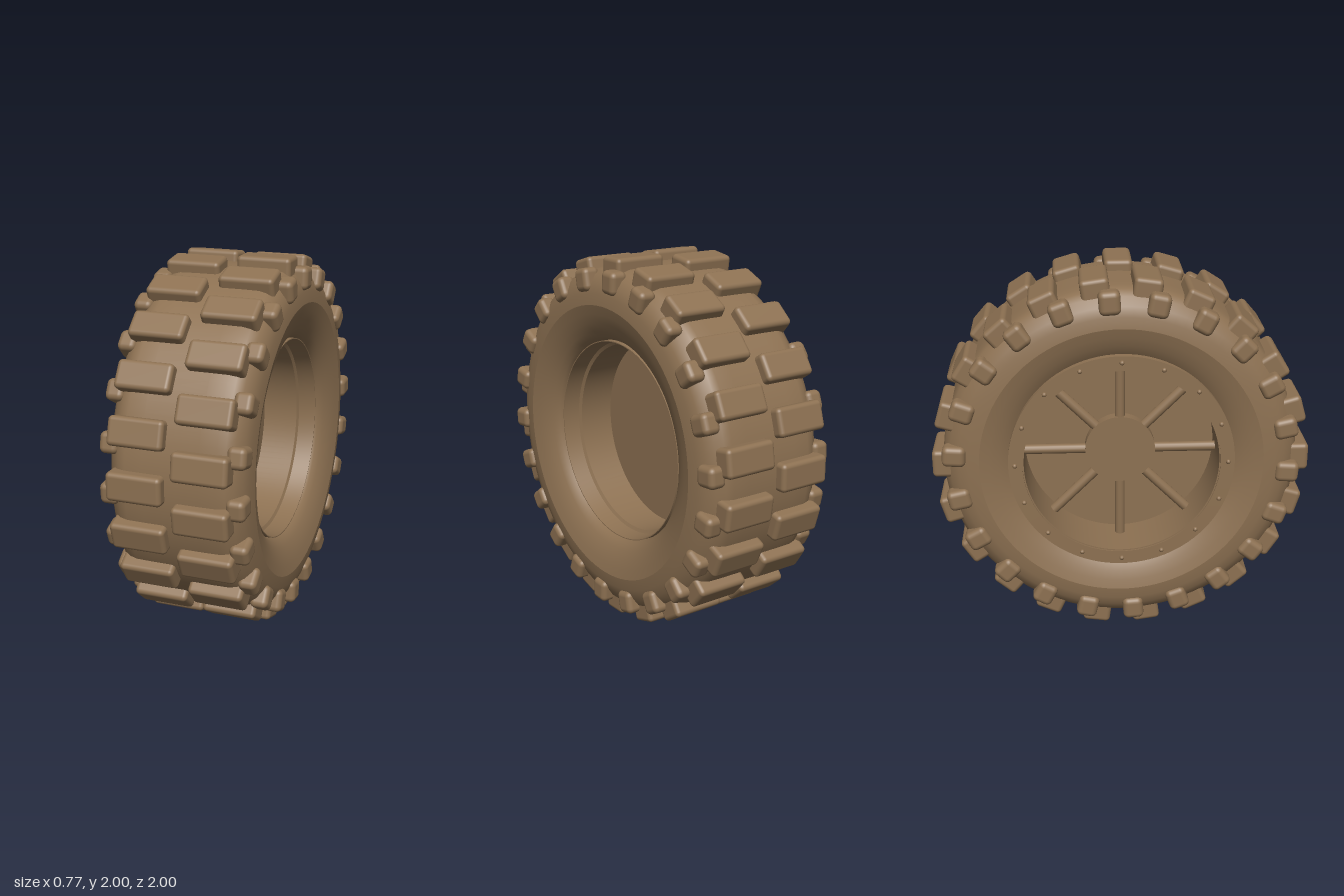
import * as THREE from 'three';
import { toCreasedNormals } from 'three/addons/utils/BufferGeometryUtils.js';
import { RoundedBoxGeometry } from 'three/addons/geometries/RoundedBoxGeometry.js';

const brown = new THREE.MeshStandardMaterial({ color: 0x8d7152 });
brown.name = 'brown';

const LUGS = 22;
const STEP = (Math.PI * 2) / LUGS;

export function createModel() {
  const model = new THREE.Group();
  model.name = 'wheelModel';

  // The axle sits one radius above the ground
  const wheel = new THREE.Group();
  wheel.name = 'wheel';
  wheel.position.y = 1;
  model.add(wheel);

  const add = (name, geometry) => {
    const mesh = new THREE.Mesh(geometry, brown);
    mesh.name = name;
    wheel.add(mesh);
    return mesh;
  };

  // Turns a profile of [x, radius] points around the x axis
  const turn = (profile, crease = 0) => {
    const points = profile.map(([x, r]) => new THREE.Vector2(r, x));
    const geometry = new THREE.LatheGeometry(points, 96).rotateZ(-Math.PI / 2);
    return crease ? toCreasedNormals(geometry, crease) : geometry;
  };

  // Places something at an angle around the axle, measured from +z upwards
  const place = (mesh, x, radius, angle) => {
    mesh.position.set(x, radius * Math.sin(angle), radius * Math.cos(angle));
    mesh.rotation.x = -angle;
  };

  // Tyre: tread and shoulders, then a rounded inner wall on each side
  const half = [[0.15, 0.945], [0.24, 0.943], [0.28, 0.932], [0.32, 0.905], [0.35, 0.86], [0.366, 0.81], [0.373, 0.75]];
  const mirrored = half.map(([x, r]) => [-x, r]).reverse();
  add('tyreTread', turn([...mirrored, ...half]));

  const wall = [[0.373, 0.75], [0.36, 0.7], [0.342, 0.65], [0.319, 0.605], [0.295, 0.572], [0.265, 0.553], [0.2, 0.545]];
  add('leftTyreWall', turn(wall));
  add('rightTyreWall', turn(wall.map(([x, r]) => [-x, r]).reverse()));

  // Rim barrel: a closed ring with a stepped lip
  add('rimBarrel', turn([
    [0.285, 0.55], [0.285, 0.545], [0.19, 0.535], [0.18, 0.518], [-0.345, 0.518],
    [-0.345, 0.55], [0.285, 0.55],
  ], 0.4));

  // Solid plate closing the barrel
  const plate = add('centrePlate', new THREE.CylinderGeometry(0.52, 0.52, 0.03, 96));
  plate.rotation.z = Math.PI / 2;
  plate.position.x = -0.035;

  // Clamp ring with its bolts on the -x side
  add('clampRing', turn([[-0.32, 0.525], [-0.352, 0.525], [-0.352, 0.6], [-0.31, 0.6], [-0.32, 0.525]], 0.4));
  const boltGeometry = new THREE.SphereGeometry(0.013, 12, 8);
  for (let i = 0; i < 16; i++) {
    place(add('bolt', boltGeometry), -0.353, 0.565, (i * Math.PI) / 8);
  }

  // Hub and eight round spokes
  const hub = add('hub', new THREE.CylinderGeometry(0.19, 0.19, 0.06, 48));
  hub.rotation.z = Math.PI / 2;
  hub.position.x = -0.135;
  const spokeGeometry = new THREE.CylinderGeometry(0.027, 0.027, 0.4, 16).rotateX(Math.PI / 2);
  for (let i = 0; i < 8; i++) {
    place(add('spoke', spokeGeometry), -0.135, 0.32, (i * Math.PI) / 4);
  }

  // Staggered tread blocks and smaller shoulder blocks on both sides
  const treadGeometry = new RoundedBoxGeometry(0.295, 0.15, 0.15, 3, 0.024);
  const shoulderGeometry = new RoundedBoxGeometry(0.1, 0.112, 0.125, 3, 0.03);
  for (let i = 0; i < LUGS; i++) {
    const angle = i * STEP;
    place(add('leftTreadBlock', treadGeometry), 0.168, 0.925, angle + STEP / 2);
    place(add('rightTreadBlock', treadGeometry), -0.173, 0.925, angle);
    for (const side of [-1, 1]) {
      place(add('shoulderBlock', shoulderGeometry), side * 0.334, 0.882, angle - STEP / 4);
    }
  }

  return model;
}
